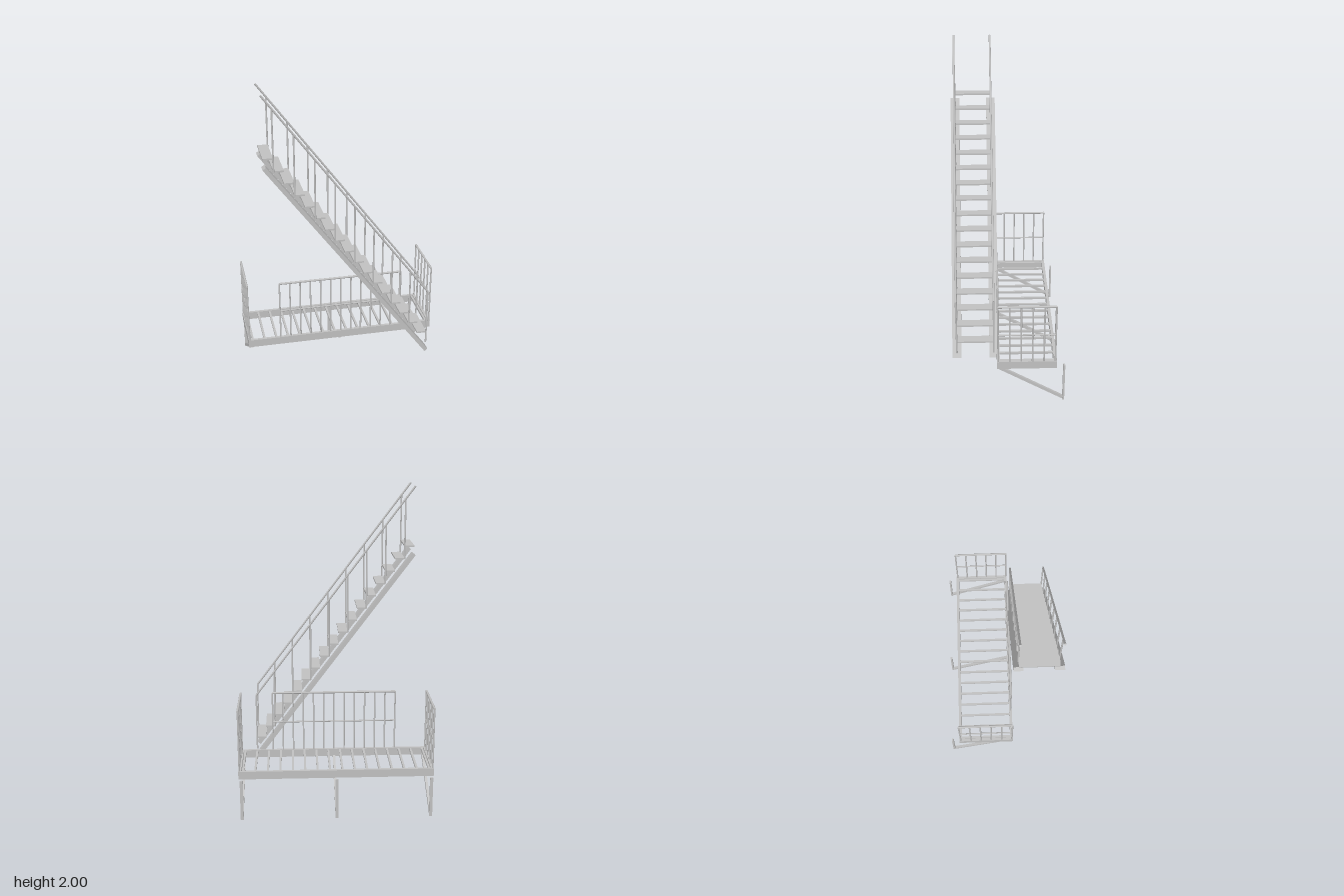
import * as THREE from 'three';

const steel = new THREE.MeshStandardMaterial({ color: 0xc0c0c0 });
steel.name = 'grey steel';

const V = (x, y, z) => new THREE.Vector3(x, y, z);

function box(parent, name, w, h, d, x, y, z) {
  const m = new THREE.Mesh(new THREE.BoxGeometry(w, h, d), steel);
  m.name = name;
  m.position.set(x, y, z);
  parent.add(m);
  return m;
}

// Round bar between two points
function rod(parent, name, a, b, r) {
  const dir = b.clone().sub(a);
  const m = new THREE.Mesh(new THREE.CylinderGeometry(r, r, dir.length(), 10), steel);
  m.name = name;
  m.position.copy(a).add(b).multiplyScalar(0.5);
  m.quaternion.setFromUnitVectors(V(0, 1, 0), dir.normalize());
  parent.add(m);
}

function group(parent, name) {
  const g = new THREE.Group();
  g.name = name;
  parent.add(g);
  return g;
}

// Guard rail from a to b: top rail, middle rail and evenly spaced posts
function guardRail(parent, name, a, b, posts) {
  const g = group(parent, name);
  const up = (p, y) => V(p.x, y, p.z);
  rod(g, 'topRail', up(a, 0.687), up(b, 0.687), 0.007);
  rod(g, 'middleRail', up(a, 0.49), up(b, 0.49), 0.005);
  for (let i = 0; i < posts; i++) {
    const p = a.clone().lerp(b, i / (posts - 1));
    rod(g, 'post', up(p, 0.295), up(p, 0.687), 0.005);
  }
}

export function createModel() {
  const model = new THREE.Group();
  model.name = 'fireEscape';

  // Platform frame and slats
  const deck = group(model, 'platform');
  const zBack = -0.29, zFront = 0.073, zMid = (zBack + zFront) / 2;
  box(deck, 'backBeam', 1.21, 0.05, 0.018, 0, 0.274, zBack + 0.009);
  box(deck, 'frontBeam', 1.21, 0.05, 0.018, 0, 0.274, zFront - 0.009);
  for (const s of [-1, 1]) {
    box(deck, 'endBeam', 0.018, 0.05, zFront - zBack - 0.036, s * 0.596, 0.274, zMid);
  }
  for (let i = 0; i < 16; i++) {
    box(deck, 'slat', 0.013, 0.013, zFront - zBack - 0.036, (i - 7.5) * 0.077, 0.29, zMid);
  }

  // Guard rails on the stair side and both ends
  guardRail(model, 'frontGuardRail', V(-0.396, 0, 0.064), V(0.396, 0, 0.064), 13);
  for (const s of [-1, 1]) {
    guardRail(model, 'endGuardRail', V(s * 0.599, 0, 0.066), V(s * 0.599, 0, -0.28), 6);
  }

  // Wall brackets under the platform
  for (const x of [-0.585, 0, 0.585]) {
    const g = group(model, 'bracket');
    box(g, 'wallPlate', 0.019, 0.259, 0.012, x, 0.1295, -0.336);
    const dz = 0.395, dy = 0.235;
    const strut = box(g, 'strut', 0.016, 0.018, Math.hypot(dz, dy), x, 0.132, -0.134);
    strut.rotation.x = -Math.atan2(dy, dz);
  }

  // Stair: treads, stringers and handrails
  const stair = group(model, 'stair');
  const run = 1 / 17, rise = 0.0782;
  for (let i = 0; i < 17; i++) {
    box(stair, 'tread', run + 0.001, 0.01, 0.226, -0.5 + (i + 0.5) * run, 1.625 - i * rise, 0.203);
  }
  for (const z of [0.09, 0.316]) {
    const outer = z < 0.2 ? -1 : 1;
    const stringer = box(stair, 'stringer', Math.hypot(0.992, 1.325), 0.024, 0.056, 0, 0.917, z + outer * 0.001);
    stringer.rotation.z = -Math.atan2(1.325, 0.992);

    const rail = group(stair, 'handrail');
    const railY = (x) => 1.33 - x * 1.33;
    rod(rail, 'railBar', V(-0.499, railY(-0.499), z), V(0.499, railY(0.499), z), 0.006);
    for (let i = 0; i < 9; i++) {
      const x = -0.441 + i * 2 * run;
      const base = i === 8 ? 0.297 : 1.625 - (2 * i + 1) * rise;
      rod(rail, 'post', V(x, base, z), V(x, railY(x), z), 0.005);
    }
  }

  return model;
}
